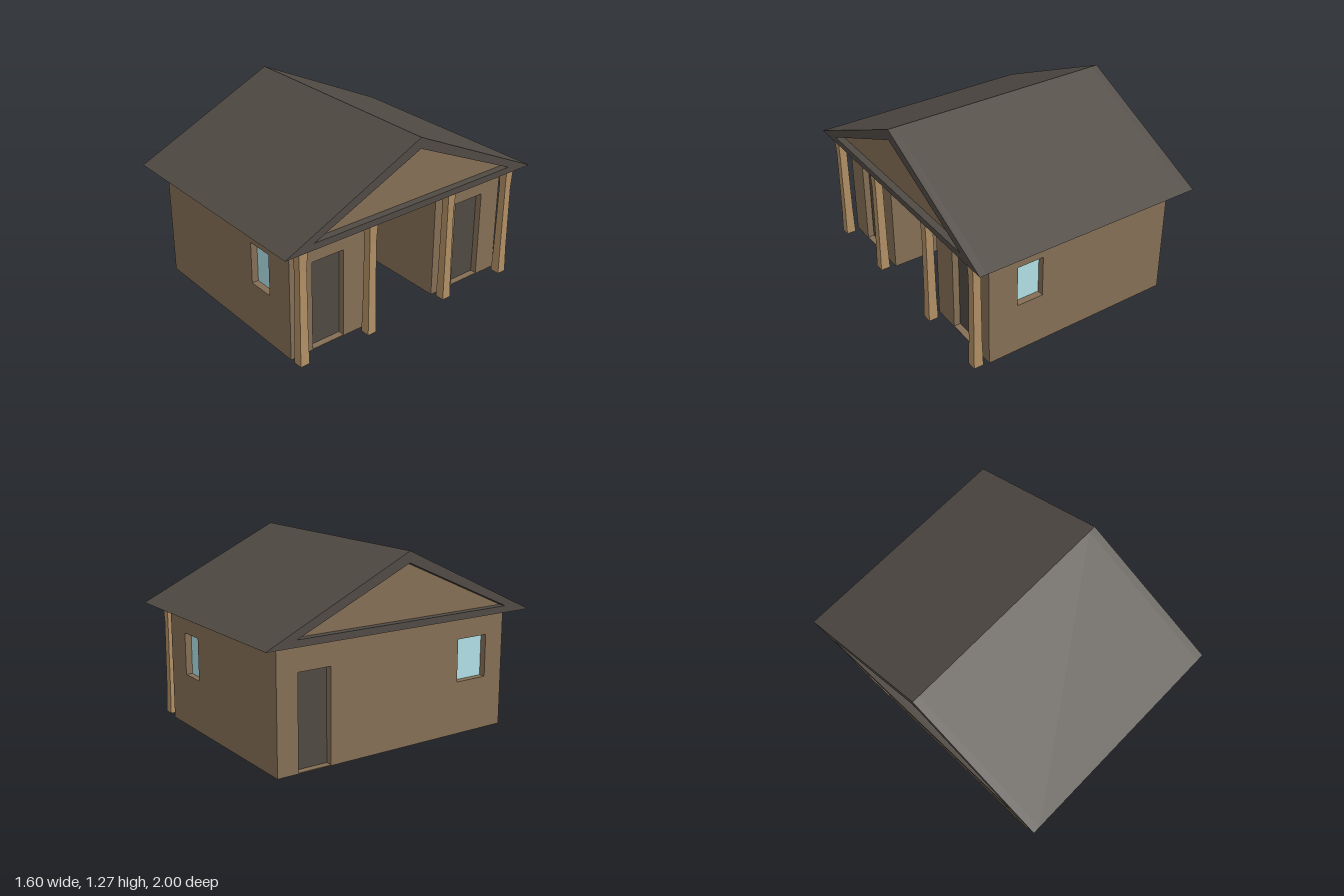
import * as THREE from 'three';

const mat = (name, color) => Object.assign(new THREE.MeshStandardMaterial({ color }), { name });

export function createModel() {
  const wallMat = mat('wall brown', 0x846f56);
  const roofMat = mat('roof charcoal', 0x504a44);
  const doorMat = mat('door charcoal', 0x4f4942);
  const postMat = mat('post timber', 0xb08f65);
  const glassMat = mat('window glass', 0xb0e0e6);

  const model = new THREE.Group();
  model.name = 'cabin';

  const add = (parent, name, geometry, material) => {
    const mesh = new THREE.Mesh(geometry, material);
    mesh.name = name;
    parent.add(mesh);
    return mesh;
  };
  // Box given by its minimum and maximum corners
  const block = (parent, name, material, [x0, y0, z0], [x1, y1, z1]) =>
    add(parent, name, new THREE.BoxGeometry(x1 - x0, y1 - y0, z1 - z0), material)
      .position.set((x0 + x1) / 2, (y0 + y1) / 2, (z0 + z1) / 2);

  const H = 0.79, T = 0.05, DOOR_H = 0.62, SILL = 0.355, HEAD = 0.64, FLOOR = 0.006;
  const L = -0.70, R = 0.66, Z = 0.875, N0 = -0.285, N1 = 0.30, NX = 0.08;

  // Solid core behind the wall panels and a floor slab, both leaving the porch recess open
  const rows = [[-Z, N0], [N0, N1], [N1, Z]];
  rows.forEach(([z0, z1], i) => {
    const right = i === 1 ? NX : R;
    block(model, 'floorSlab', wallMat, [L, 0, z0], [right, FLOOR, z1]);
    block(model, 'houseCore', wallMat,
      [L + T, FLOOR, Math.max(z0, -Z + T)], [right - T, H, Math.min(z1, Z - T)]);
  });

  // Wall panel running u0..u1 with its outer face at distance d; doors and windows are recessed
  function wall(name, angle, d, u0, u1, { door, window: win }) {
    const group = new THREE.Group();
    group.name = name;
    group.rotation.y = angle;
    model.add(group);
    const outline = [[u0, 0]];
    if (door) outline.push([door[0], 0], [door[0], DOOR_H], [door[1], DOOR_H], [door[1], 0]);
    outline.push([u1, 0], [u1, H], [u0, H]);
    const shape = new THREE.Shape(outline.map(p => new THREE.Vector2(...p)));
    if (win) {
      shape.holes.push(new THREE.Path([
        [win[0], SILL], [win[0], HEAD], [win[1], HEAD], [win[1], SILL],
      ].map(p => new THREE.Vector2(...p))));
      block(group, 'windowPane', glassMat, [win[0], SILL, d - T], [win[1], HEAD, d - T + 0.005]);
    }
    if (door) block(group, 'door', doorMat, [door[0], 0.002, d - T], [door[1], DOOR_H, d - T + 0.005]);
    const geometry = new THREE.ExtrudeGeometry(shape, { depth: T, bevelEnabled: false });
    geometry.translate(0, 0, d - T);
    add(group, 'wallPanel', geometry, wallMat);
  }
  const E = Z - T, Q = Math.PI / 2;
  wall('frontWall', 0, Z, L, R, { window: [0.27, 0.455] });
  wall('backWall', Math.PI, Z, -R, -L, { window: [-0.455, -0.27] });
  wall('rightEndWall', -Q, -L, -E, E, { door: [-0.73, -0.50], window: [0.49, 0.73] });
  wall('porchWallFront', Q, R, -E, -N1, { door: [-0.71, -0.47] });
  wall('porchWallBack', Q, R, -N0, E, { door: [0.47, 0.71] });
  wall('entranceWall', Q, NX, -N1, -N0, { door: [-0.27, 0.255] });

  // Gabled roof: solid prism with brown gables, and a projecting frame at each end
  const roof = new THREE.Group();
  roof.name = 'roof';
  roof.rotation.y = -Q;
  model.add(roof);
  const tri = (Type, w, base, top) => new Type([
    new THREE.Vector2(-w, base), new THREE.Vector2(w, base), new THREE.Vector2(0, top)]);
  const prism = (shape, depth, start) =>
    new THREE.ExtrudeGeometry(shape, { depth, bevelEnabled: false }).translate(0, 0, start);
  add(roof, 'roofPrism', prism(tri(THREE.Shape, 1, 0.8, 1.27), 1.5, -0.75), [wallMat, roofMat]);
  const frame = tri(THREE.Shape, 1, 0.8, 1.27);
  frame.holes.push(tri(THREE.Path, 0.795, 0.842, 1.197));
  for (const start of [-0.8, 0.75]) add(roof, 'gableFrame', prism(frame, 0.05, start), roofMat);
  block(model, 'soffit', wallMat, [-0.798, 0.797, -0.995], [0.798, 0.801, 0.995]);

  // Square porch posts, slightly waisted
  const profile = [[0, 0.015], [0.033, 0.015], [0.029, 0.2], [0.026, 0.66], [0.032, 0.8], [0, 0.8]]
    .map(([half, y]) => new THREE.Vector2(half * Math.SQRT2, y));
  const postGeo = new THREE.LatheGeometry(profile, 4).rotateY(Math.PI / 4).toNonIndexed();
  postGeo.computeVertexNormals();
  for (const z of [0.853, 0.33, -0.317, -0.848])
    add(model, 'porchPost', postGeo, postMat).position.set(0.74, 0, z);

  return model;
}
